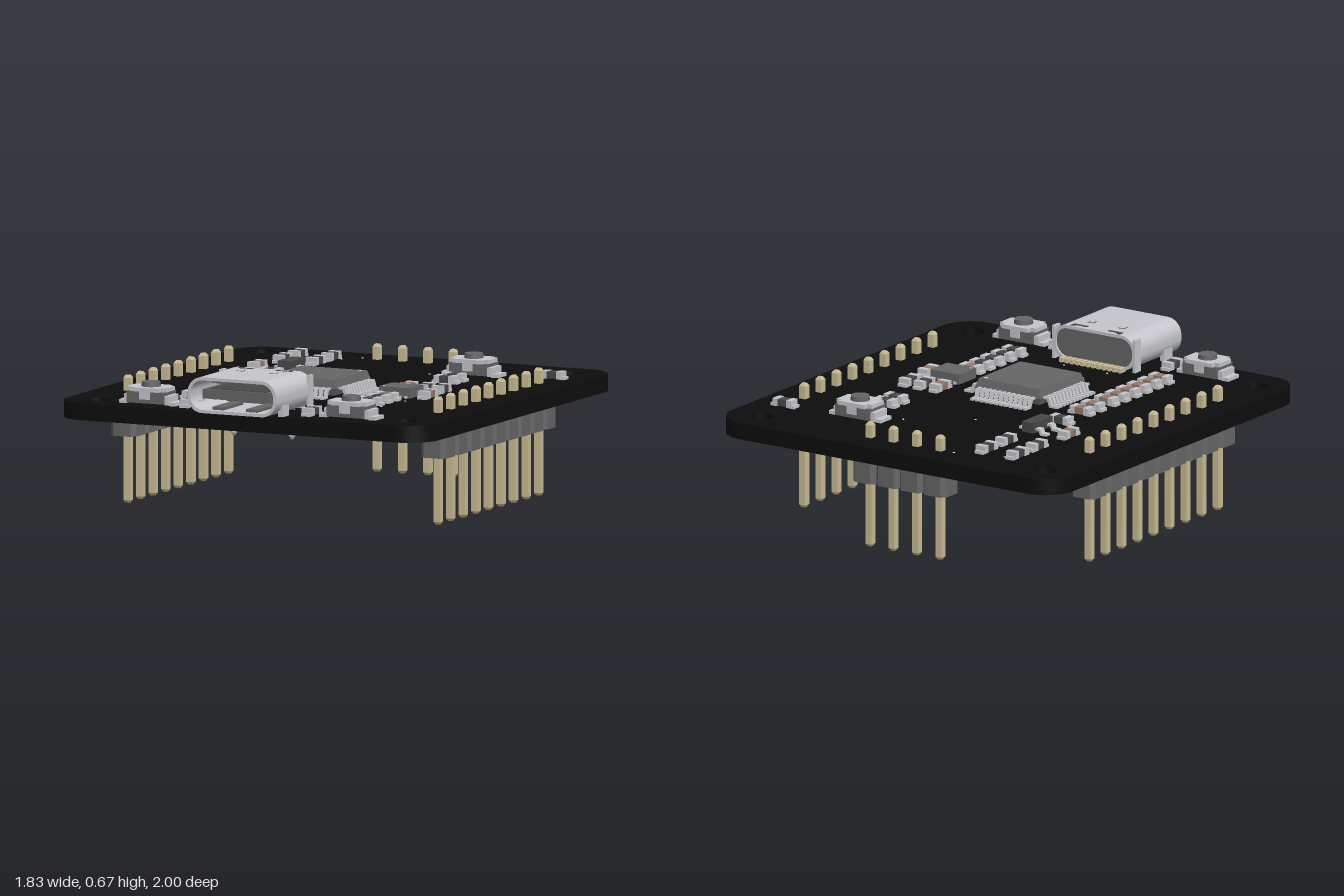
import * as THREE from 'three';
import { toCreasedNormals } from 'three/addons/utils/BufferGeometryUtils.js';

const mat = (name, color) => Object.assign(new THREE.MeshStandardMaterial({ color }), { name });
const M = {
  board: mat('solder mask black', 0x0d0d0d),
  plastic: mat('grey plastic', 0x666666),
  silver: mat('tinned metal', 0xc6c7cd),
  pin: mat('brass pins', 0xcbbd95),
  ceramic: mat('brown ceramic', 0x987868),
  dark: mat('dark grey', 0x484848),
  silk: mat('white silkscreen', 0xf2f2f2),
};
const TOP = 0.5, BOTTOM = 0.425;

function add(parent, name, geo, material, x = 0, y = 0, z = 0) {
  const m = new THREE.Mesh(geo, material);
  m.name = name;
  m.position.set(x, y, z);
  parent.add(m);
  return m;
}
const box = (w, h, d) => new THREE.BoxGeometry(w, h, d);
function group(parent, name, x = 0, y = 0, z = 0) {
  const g = new THREE.Group();
  g.name = name;
  g.position.set(x, y, z);
  parent.add(g);
  return g;
}
// Square flat-faced solid from [half width, height] pairs, bottom to top
function squareTurned(profile) {
  const pts = profile.map(([w, y]) => new THREE.Vector2(w * Math.SQRT2, y));
  const g = new THREE.LatheGeometry(pts, 4).rotateY(Math.PI / 4).toNonIndexed();
  g.computeVertexNormals();
  return g;
}
function roundRect(P, x0, y0, x1, y1, r) {
  const p = new P();
  p.absarc(x1 - r, y1 - r, r, 0, Math.PI / 2);
  p.absarc(x0 + r, y1 - r, r, Math.PI / 2, Math.PI);
  p.absarc(x0 + r, y0 + r, r, Math.PI, Math.PI * 1.5);
  p.absarc(x1 - r, y0 + r, r, Math.PI * 1.5, Math.PI * 2);
  p.closePath();
  return p;
}
const extrude = (shape, depth, curveSegments = 10) =>
  toCreasedNormals(new THREE.ExtrudeGeometry(shape, { depth, bevelEnabled: false, curveSegments }), 0.6);
const polygon = pts => new THREE.Shape(pts.map(p => new THREE.Vector2(...p)));

// Row of square pins, each in a chamfered housing segment
function pinHeader(parent, name, spots) {
  const g = group(parent, name);
  const pinGeo = squareTurned([[0, 0], [0.009, 0], [0.016, 0.012], [0.016, 0.558], [0.009, 0.57], [0, 0.57]]);
  const a = 0.0625, b = 0.042;
  const seg = extrude(polygon([[a, -b], [a, b], [b, a], [-b, a], [-a, b], [-a, -b], [-b, -a], [b, -a]]), 0.122)
    .rotateX(Math.PI / 2);
  for (const [x, z] of spots) {
    add(g, 'headerHousing', seg, M.plastic, x, BOTTOM, z);
    add(g, 'headerPin', pinGeo, M.pin, x, 0, z);
  }
}

// Two-terminal chip part: body, end caps and solder fillets
function chipPart(parent, name, x, z, upright, bodyMat) {
  const g = group(parent, name, x, TOP, z);
  if (upright) g.rotation.y = Math.PI / 2;
  add(g, 'chipBody', box(0.07, 0.03, 0.048), bodyMat, 0, 0.019, 0);
  for (const s of [-1, 1]) {
    add(g, 'endCap', box(0.026, 0.034, 0.052), M.silver, s * 0.036, 0.019, 0);
    add(g, 'solder', box(0.026, 0.014, 0.044), M.silver, s * 0.049, 0.007, 0);
  }
}

function pushButton(parent, x, z) {
  const g = group(parent, 'pushButton', x, TOP, z);
  add(g, 'buttonBase', box(0.18, 0.052, 0.128), M.plastic, 0, 0.034, 0);
  const cover = polygon([[0.095, -0.045], [0.095, 0.045], [0.07, 0.045], [0.07, 0.07], [-0.07, 0.07], [-0.07, 0.045],
    [-0.095, 0.045], [-0.095, -0.045], [-0.07, -0.045], [-0.07, -0.07], [0.07, -0.07], [0.07, -0.045]]);
  add(g, 'buttonCover', extrude(cover, 0.018).rotateX(Math.PI / 2), M.silver, 0, 0.078, 0);
  add(g, 'plunger', new THREE.CylinderGeometry(0.041, 0.043, 0.022, 24), M.plastic, 0, 0.088, 0);
  for (const s of [-1, 1]) {
    add(g, 'buttonLeg', box(0.034, 0.016, 0.085), M.silver, s * 0.122, 0.008, 0);
    add(g, 'legFoot', box(0.02, 0.04, 0.1), M.silver, s * 0.1, 0.024, 0);
    add(g, 'coverClip', box(0.05, 0.045, 0.006), M.silver, 0, 0.048, s * 0.067);
  }
}

// Bent lead running outward along +x, centred on its width
const gullWing = (len, h, w) => extrude(polygon([[0, h], [0, h - 0.01], [len * 0.3, h - 0.01], [len * 0.45, 0],
  [len, 0], [len, 0.011], [len * 0.58, 0.011], [len * 0.45, h]]), w).translate(0, 0, -w / 2);

function mainChip(parent) {
  const g = group(parent, 'mainChip', -0.013, TOP, 0.124);
  add(g, 'chipPackage', squareTurned([[0, 0.01], [0.166, 0.01], [0.174, 0.04], [0.162, 0.08], [0, 0.08]]), M.plastic);
  add(g, 'pinOneMark', new THREE.CylinderGeometry(0.01, 0.01, 0.004, 12), M.silver, 0.137, 0.08, -0.142);
  const lead = gullWing(0.082, 0.045, 0.015);
  for (let s = 0; s < 4; s++) {
    const side = group(g, 'leadRow');
    side.rotation.y = s * Math.PI / 2;
    for (let i = 0; i < 12; i++) add(side, 'lead', lead, M.silver, 0.168, 0, (i - 5.5) * 0.0257);
  }
}

function smallChips(parent) {
  // Three-lead transistor
  const t = group(parent, 'transistor', -0.383, TOP, -0.356);
  add(t, 'transistorBody', box(0.063, 0.047, 0.148), M.dark, 0, 0.032, 0);
  const lead = gullWing(0.06, 0.03, 0.03);
  add(t, 'transistorLead', lead, M.silver, 0.028, 0, 0);
  for (const z of [-0.045, 0.045]) add(t, 'transistorLead', lead, M.silver, -0.028, 0, z).rotation.y = Math.PI;
  // Leadless chip with edge pads
  const c = group(parent, 'regulatorChip', 0.39, TOP, 0.112);
  add(c, 'regulatorBody', box(0.153, 0.046, 0.132), M.plastic, 0, 0.025, 0);
  add(c, 'pinOneMark', new THREE.CylinderGeometry(0.007, 0.007, 0.004, 10), M.silver, -0.06, 0.048, 0.05);
  for (let i = 0; i < 5; i++)
    for (const s of [-1, 1]) add(c, 'edgePad', box(0.014, 0.012, 0.01), M.silver, (i - 2) * 0.028, 0.007, s * 0.067);
}

function usbSocket(parent) {
  const g = group(parent, 'usbSocket', -0.005, TOP, 0);
  // Shell
  const shell = roundRect(THREE.Shape, -0.218, 0.004, 0.218, 0.164, 0.072);
  shell.holes.push(roundRect(THREE.Path, -0.204, 0.018, 0.204, 0.15, 0.06));
  add(g, 'shell', extrude(shell, 0.365), M.silver, 0, 0, 0.635);
  // Insert, tongue and contacts
  add(g, 'insert', extrude(roundRect(THREE.Shape, -0.205, 0.017, 0.205, 0.151, 0.06), 0.07), M.plastic, 0, 0, 0.645);
  add(g, 'tongue', box(0.33, 0.042, 0.25), M.plastic, 0, 0.084, 0.83);
  for (const s of [-1, 1]) {
    add(g, 'tongueContacts', box(0.28, 0.004, 0.2), M.dark, 0, 0.084 + s * 0.022, 0.84);
    for (const t of [-1, 1]) add(g, 'spring', box(0.055, 0.014, 0.2), M.plastic, s * 0.083, 0.084 + t * 0.06, 0.87);
    // Shell cut-outs
    add(g, 'shellSlot', box(0.075, 0.004, 0.016), M.dark, s * 0.093, 0.1635, 0.668);
    add(g, 'shellSlot', box(0.02, 0.004, 0.03), M.dark, s * 0.122, 0.1635, 0.66);
    add(g, 'latchWindow', box(0.032, 0.003, 0.032), M.dark, s * 0.082, 0.1635, 0.742);
    add(g, 'latchTab', box(0.024, 0.004, 0.024), M.silver, s * 0.082, 0.164, 0.742);
    // Side mounting tabs and locating pegs
    add(g, 'mountTab', box(0.014, 0.15, 0.045), M.silver, s * 0.215, 0.078, 0.655);
    add(g, 'mountFoot', box(0.025, 0.05, 0.06), M.silver, s * 0.205, 0.025, 0.9);
    add(g, 'locatingPeg', new THREE.CylinderGeometry(0.015, 0.015, 0.12, 12), M.silver, s * 0.143, -0.06, 0.688);
    add(g, 'pegTip', new THREE.CylinderGeometry(0.015, 0.006, 0.014, 12), M.silver, s * 0.143, -0.127, 0.688);
  }
  for (let i = 0; i < 12; i++)
    add(g, 'solderTail', box(0.016, 0.02, 0.045), M.pin, (i - 5.5) * 0.0285, 0.01, 0.625);
}

export function createModel() {
  const model = new THREE.Group();
  model.name = 'microcontrollerBoard';

  // Board with corner mounting holes
  const outline = roundRect(THREE.Shape, -0.915, -1, 0.915, 0.945, 0.15);
  for (const [x, z] of [[-0.768, -0.854], [0.752, -0.854], [-0.768, 0.79], [0.75, 0.79]])
    outline.holes.push(new THREE.Path().absarc(x, z, 0.054, 0, Math.PI * 2, true));
  add(model, 'board', extrude(outline, TOP - BOTTOM, 16).rotateX(Math.PI / 2), M.board, 0, TOP, 0);

  // Pin headers
  const nine = [...Array(9).keys()].map(i => -0.51 + i * 0.125);
  pinHeader(model, 'rightHeader', nine.map(z => [-0.768, z]));
  pinHeader(model, 'leftHeader', nine.map(z => [0.76, z]));
  pinHeader(model, 'backHeader', [-0.208, -0.083, 0.042, 0.167].map(x => [x, -0.858]));

  usbSocket(model);
  mainChip(model);
  smallChips(model);
  for (const [x, z] of [[-0.498, 0.805], [0.488, 0.805], [0.39, -0.612]]) pushButton(model, x, z);

  // Resistors: x, z, upright
  for (const [x, z, up] of [[-0.547, -0.752, 1], [-0.383, -0.752, 1], [-0.547, -0.6, 1], [-0.383, -0.6, 1],
    [-0.404, -0.2, 0], [0.757, -0.665, 0], [0.393, -0.41, 0], [0.393, -0.33, 0], [0.388, 0.332, 0],
    [0.388, 0.415, 0], [0.388, 0.5, 0], [0.388, 0.584, 0], [-0.307, 0.808, 1], [0.295, 0.808, 1], [0.425, -0.06, 1],
    [0.504, -0.06, 1]])
    chipPart(model, 'resistor', x, z, up, M.dark);
  // Capacitors: x, z, upright
  for (const z of [-0.024, 0.062, 0.167, 0.252, 0.337, 0.42, 0.505, 0.59])
    chipPart(model, 'capacitor', -0.393, z, 0, M.ceramic);
  for (const [x, z, up] of [[-0.552, -0.36, 1], [0.34, -0.06, 1], [0.522, 0.112, 1], [0.388, 0.252, 0]])
    chipPart(model, 'capacitor', x, z, up, M.ceramic);

  // Silkscreen dots
  const dot = new THREE.CylinderGeometry(0.005, 0.005, 0.003, 8);
  for (const [x, z] of [[-0.28, -0.858], [-0.505, -0.79], [-0.35, -0.79], [0.205, -0.545], [-0.06, -0.367],
    [-0.28, 0.062], [-0.31, 0.19], [-0.32, 0.505], [-0.31, 0.59], [0.56, 0.06], [0.26, 0.14], [0.27, 0.22],
    [0.48, 0.252], [-0.12, 0.57], [0.11, 0.57], [0.46, 0.45]])
    add(model, 'silkscreenDot', dot, M.silk, x, TOP + 0.001, z);
  return model;
}
